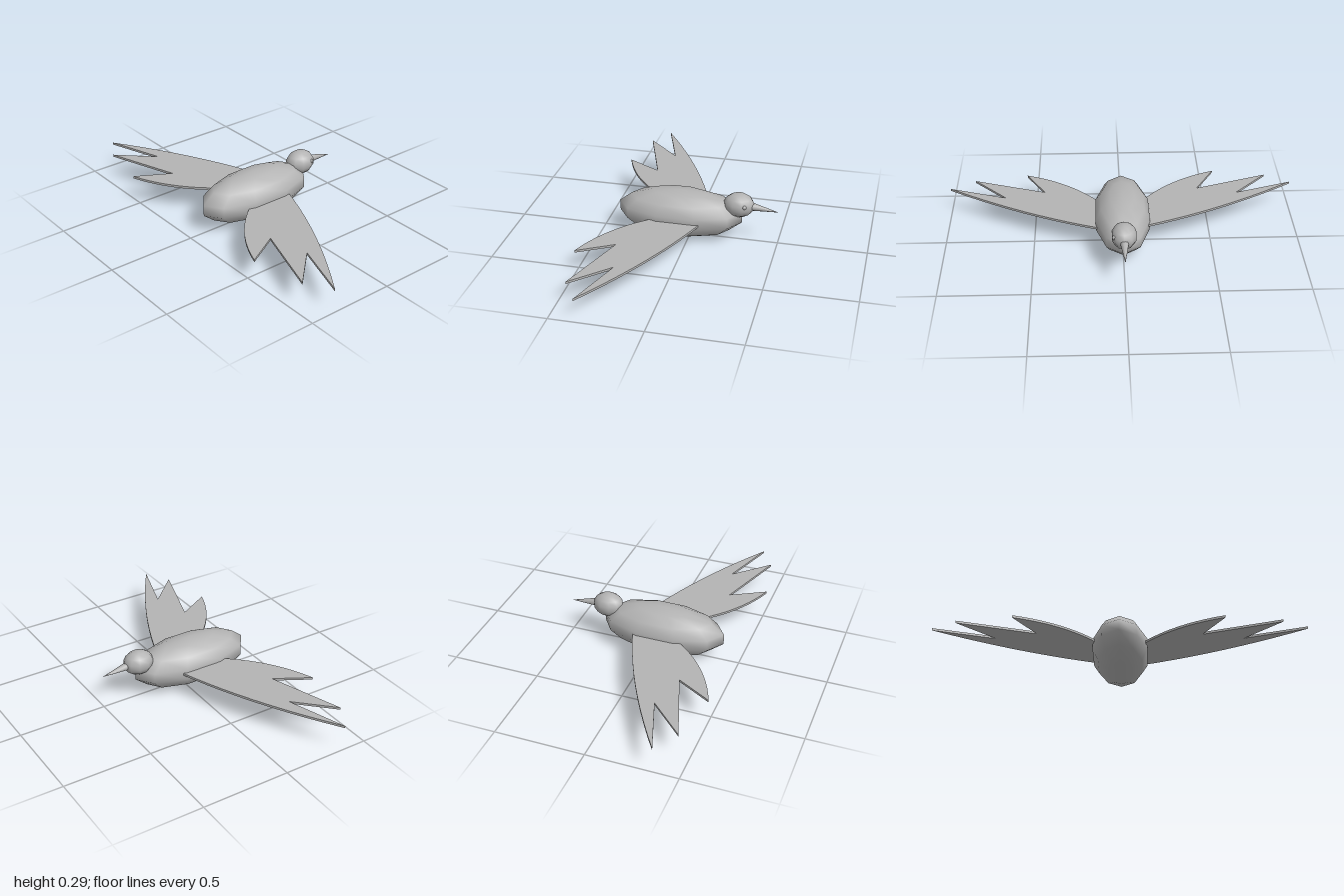
import * as THREE from 'three';

export function createModel() {
  const bird = new THREE.Group();
  bird.name = 'bird';
  const grey = new THREE.MeshStandardMaterial({ color: 0xb4b4b4 });
  grey.name = 'plain grey';

  function add(name, geometry, x = 0, y = 0, z = 0) {
    const mesh = new THREE.Mesh(geometry, grey);
    mesh.name = name;
    mesh.position.set(x, y, z);
    bird.add(mesh);
    return mesh;
  }

  // A coarse, smooth-shaded ball stretched along each axis
  const ellipsoid = (rx, ry, rz) => new THREE.SphereGeometry(1, 10, 7).scale(rx, ry, rz);

  add('body', ellipsoid(0.3615, 0.137, 0.163), -0.056, 0.14, 0);
  add('head', ellipsoid(0.088, 0.07, 0.071), 0.277, 0.219, 0);
  add('eye', new THREE.SphereGeometry(0.012, 10, 7), 0.316, 0.232, 0.054);

  // Beak: a thin cone from inside the head, dipping slightly to its tip
  const base = new THREE.Vector3(0.345, 0.216, 0);
  const tip = new THREE.Vector3(0.5, 0.196, 0);
  const along = tip.clone().sub(base);
  const middle = base.clone().add(tip).multiplyScalar(0.5);
  const beak = add('beak', new THREE.ConeGeometry(0.024, along.length(), 10), ...middle.toArray());
  beak.quaternion.setFromUnitVectors(new THREE.Vector3(0, 1, 0), along.normalize());

  // Wings: flat swept plates with three feather tips; one sits a little higher
  function addWing(name, side, top) {
    const s = new THREE.Shape();
    s.moveTo(0.085, 0.12 * side);
    s.quadraticCurveTo(-0.065, 0.56 * side, -0.36, side);
    s.lineTo(-0.25, 0.67 * side);
    s.lineTo(-0.445, 0.86 * side);
    s.lineTo(-0.305, 0.445 * side);
    s.lineTo(-0.5, 0.555 * side);
    s.quadraticCurveTo(-0.41, 0.29 * side, -0.18, 0.12 * side);
    s.closePath();
    const geometry = new THREE.ExtrudeGeometry(s, { depth: 0.013, bevelEnabled: false, curveSegments: 10 });
    add(name, geometry.rotateX(Math.PI / 2), 0, top, 0);
  }
  addWing('frontWing', 1, 0.14);
  addWing('backWing', -1, 0.153);

  return bird;
}
